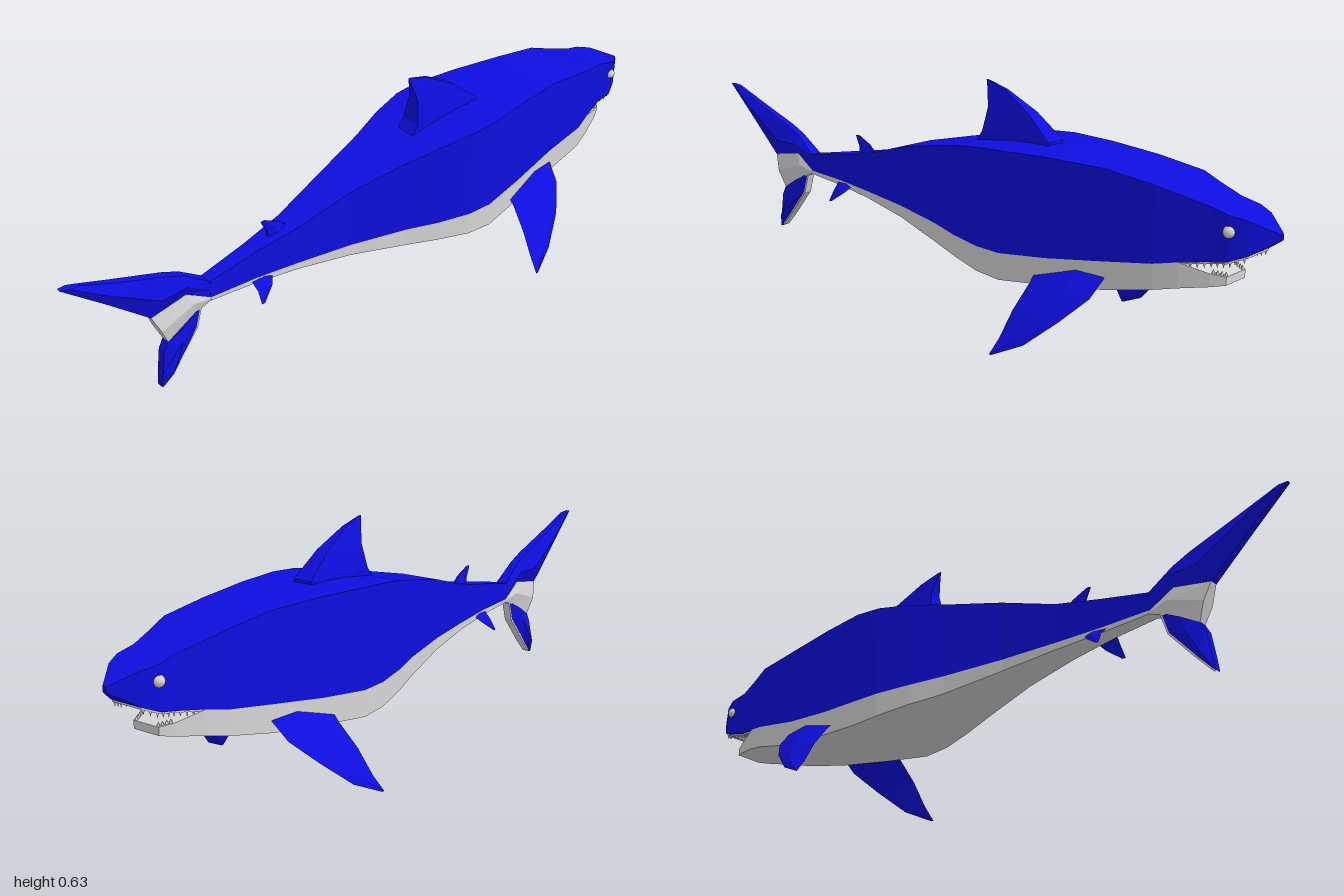
import * as THREE from 'three';

const blue = new THREE.MeshStandardMaterial({ color: 0x0e0ee0, name: 'blueSkin' });
const white = new THREE.MeshStandardMaterial({ color: 0xd6d6d6, name: 'whiteSkin' });

// Closed flat-faced skin through rings of points, oriented outward by its signed volume
function loft(name, rings, material) {
  const tris = [];
  const n = rings[0].length;
  for (let i = 0; i < rings.length - 1; i++) {
    for (let j = 0; j < n; j++) {
      const k = (j + 1) % n;
      const a = rings[i][j], b = rings[i][k], c = rings[i + 1][k], d = rings[i + 1][j];
      tris.push([a, b, c], [a, c, d]);
    }
  }
  const first = rings[0], last = rings[rings.length - 1];
  for (let j = 1; j < n - 1; j++) {
    tris.push([first[0], first[j + 1], first[j]], [last[0], last[j], last[j + 1]]);
  }
  const vec = (p) => new THREE.Vector3(...p);
  let volume = 0;
  for (const [a, b, c] of tris) volume += vec(a).dot(vec(b).cross(vec(c)));
  const flat = tris.flatMap(([a, b, c]) => (volume < 0 ? [a, c, b] : [a, b, c])).flat();
  const geometry = new THREE.BufferGeometry();
  geometry.setAttribute('position', new THREE.Float32BufferAttribute(flat, 3));
  geometry.computeVertexNormals();
  const mesh = new THREE.Mesh(geometry, material);
  mesh.name = name;
  return mesh;
}

const boxRing = (z, w, low, high) => [[-w, low, z], [w, low, z], [w, high, z], [-w, high, z]];

// Six-sided section of an upright fin: lead and trail are [z, y]
function finRing([lz, ly], [tz, ty], w, a) {
  const mz = (lz + tz) / 2, my = (ly + ty) / 2;
  return [[-a, ly, lz], [a, ly, lz], [w, my, mz], [a, ty, tz], [-a, ty, tz], [-w, my, mz]];
}

// Thin paired fin: stations are [x, y, zFront, zBack, halfThickness]
function sideFin(name, stations, side) {
  const rings = stations.map(([x, y, zf, zb, t]) => {
    const zm = zf + (zb - zf) * 0.4;
    return [
      [side * x, y, zf], [side * (x + t * 0.8), y + t * 0.6, zm],
      [side * x, y, zb], [side * (x - t * 0.8), y - t * 0.6, zm],
    ];
  });
  return loft(name, rings, blue);
}

export function createModel() {
  const group = new THREE.Group();
  group.name = 'shark';

  // Trunk stations: z, half width, belly, colour line, back
  const trunk = [
    [0.6, 0.018, 0.265, 0.275, 0.325],
    [0.46, 0.025, 0.253, 0.268, 0.35],
    [0.33, 0.04, 0.24, 0.26, 0.372],
    [0.17, 0.063, 0.217, 0.25, 0.42],
    [0, 0.1, 0.186, 0.238, 0.455],
    [-0.1, 0.13, 0.172, 0.23, 0.475],
    [-0.2, 0.152, 0.157, 0.224, 0.488],
    [-0.28, 0.155, 0.15, 0.222, 0.492],
    [-0.42, 0.135, 0.162, 0.233, 0.492],
    [-0.58, 0.112, 0.18, 0.253, 0.485],
    [-0.72, 0.105, 0.21, 0.275, 0.467],
    [-0.78, 0.087, 0.223, 0.287, 0.45],
  ];
  // Snout: z, half width, jaw line, top
  const snout = [
    [-0.85, 0.068, 0.298, 0.432],
    [-0.9, 0.07, 0.308, 0.42],
    [-0.94, 0.052, 0.325, 0.41],
    [-1, 0.006, 0.365, 0.38],
  ];
  // Lower jaw: z, half width, underside, lip
  const jaw = [
    [-0.85, 0.06, 0.235, 0.268],
    [-0.885, 0.042, 0.242, 0.263],
  ];
  const upper = [...trunk.map(([z, w, , line, top]) => [z, w, line, top]), ...snout];
  const lower = [...trunk.map(([z, w, low, line]) => [z, w, low, line]), ...jaw];
  group.add(loft('back', upper.map((s) => boxRing(...s)), blue));
  group.add(loft('bellyAndLowerJaw', lower.map((s) => boxRing(...s)), white));

  // Pale roof of the mouth
  const palate = upper.slice(-5, -1).map(([z, w, y]) => boxRing(z, w - 0.004, y - 0.005, y + 0.002));
  group.add(loft('mouthRoof', palate, white));

  // Teeth along both jaws
  function teeth(name, stations, count, height, down) {
    const set = new THREE.Group();
    set.name = name;
    const geometry = new THREE.ConeGeometry(0.006, height, 4).toNonIndexed();
    geometry.computeVertexNormals();
    for (const side of [-1, 1]) {
      const path = new THREE.CurvePath();
      const points = stations.map(([z, w, y]) => new THREE.Vector3(side * (w - 0.008), y, z));
      for (let i = 1; i < points.length; i++) path.add(new THREE.LineCurve3(points[i - 1], points[i]));
      for (let i = 0; i < count; i++) {
        const tooth = new THREE.Mesh(geometry, white);
        tooth.name = 'tooth';
        tooth.position.copy(path.getPointAt((i + 0.5) / count));
        tooth.position.y += (down ? -0.4 : 0.4) * height;
        if (down) tooth.rotation.x = Math.PI;
        set.add(tooth);
      }
    }
    group.add(set);
  }
  teeth('upperTeeth', upper.slice(-5, -1), 10, 0.018, true);
  teeth('lowerTeeth', lower.slice(-2).map(([z, w, , y]) => [z, w, y]), 4, 0.012, false);

  // Dorsal fins
  group.add(loft('dorsalFin', [
    [0.465, -0.34, -0.085, 0.03], [0.5, -0.338, -0.11, 0.03], [0.565, -0.26, -0.12, 0.018],
    [0.615, -0.17, -0.107, 0.006], [0.635, -0.108, -0.1, 0.001],
  ].map(([y, zf, zb, w]) => [[-w, y, zf], [w, y, zf], [w, y, zb], [-w, y, zb]]), blue));
  group.add(loft('rearDorsalFin', [
    finRing([0.33, 0.36], [0.4, 0.345], 0.014, 0.004),
    finRing([0.36, 0.388], [0.4, 0.375], 0.009, 0.003),
    finRing([0.405, 0.411], [0.418, 0.41], 0.002, 0.001),
  ], blue));

  // Paired fins and eyes
  for (const side of [-1, 1]) {
    const label = side > 0 ? 'left' : 'right';
    group.add(sideFin(label + 'PectoralFin', [
      [0.1, 0.225, -0.59, -0.385, 0.012], [0.155, 0.165, -0.575, -0.385, 0.011],
      [0.207, 0.105, -0.52, -0.375, 0.007], [0.25, 0.038, -0.445, -0.367, 0.008],
      [0.28, 0.002, -0.368, -0.36, 0.002],
    ], side));
    group.add(sideFin(label + 'PelvicFin', [
      [0.02, 0.265, 0.405, 0.475, 0.004], [0.045, 0.24, 0.425, 0.472, 0.004],
      [0.062, 0.21, 0.465, 0.475, 0.001],
    ], side));
    const eye = new THREE.Mesh(new THREE.SphereGeometry(0.015, 12, 8), white);
    eye.name = label + 'Eye';
    eye.position.set(side * 0.066, 0.38, -0.9);
    group.add(eye);
  }

  // Tail: blue upper lobe, pale root, blue lower lobe with a pale leading strip
  group.add(loft('upperTailLobe', [
    finRing([0.6, 0.325], [0.6, 0.275], 0.018, 0.017),
    finRing([0.67, 0.377], [0.67, 0.318], 0.025, 0.012),
    finRing([0.72, 0.4], [0.775, 0.3], 0.03, 0.012),
    finRing([0.86, 0.453], [0.89, 0.405], 0.025, 0.01),
    finRing([0.95, 0.49], [0.998, 0.499], 0.012, 0.006),
  ], blue));
  group.add(loft('tailRoot', [
    finRing([0.6, 0.275], [0.6, 0.265], 0.018, 0.017),
    finRing([0.67, 0.318], [0.64, 0.25], 0.022, 0.013),
    finRing([0.775, 0.3], [0.735, 0.2], 0.022, 0.012),
  ], white));
  const lobe = [
    [[0.63, 0.26], [0.737, 0.2], 0.02, 0.012],
    [[0.648, 0.2], [0.75, 0.175], 0.024, 0.012],
    [[0.72, 0.115], [0.76, 0.11], 0.032, 0.012],
    [[0.757, 0.075], [0.766, 0.067], 0.013, 0.01],
  ];
  group.add(loft('lowerTailLobe', lobe.map((s) => finRing(...s)), blue));
  group.add(loft('lowerTailLeadingEdge', lobe.map(([[z, y], , , a]) => [
    [-a, y, z], [a, y, z], [a, y - 0.003, z - 0.004], [-a, y - 0.003, z - 0.004],
  ]), white));

  return group;
}
